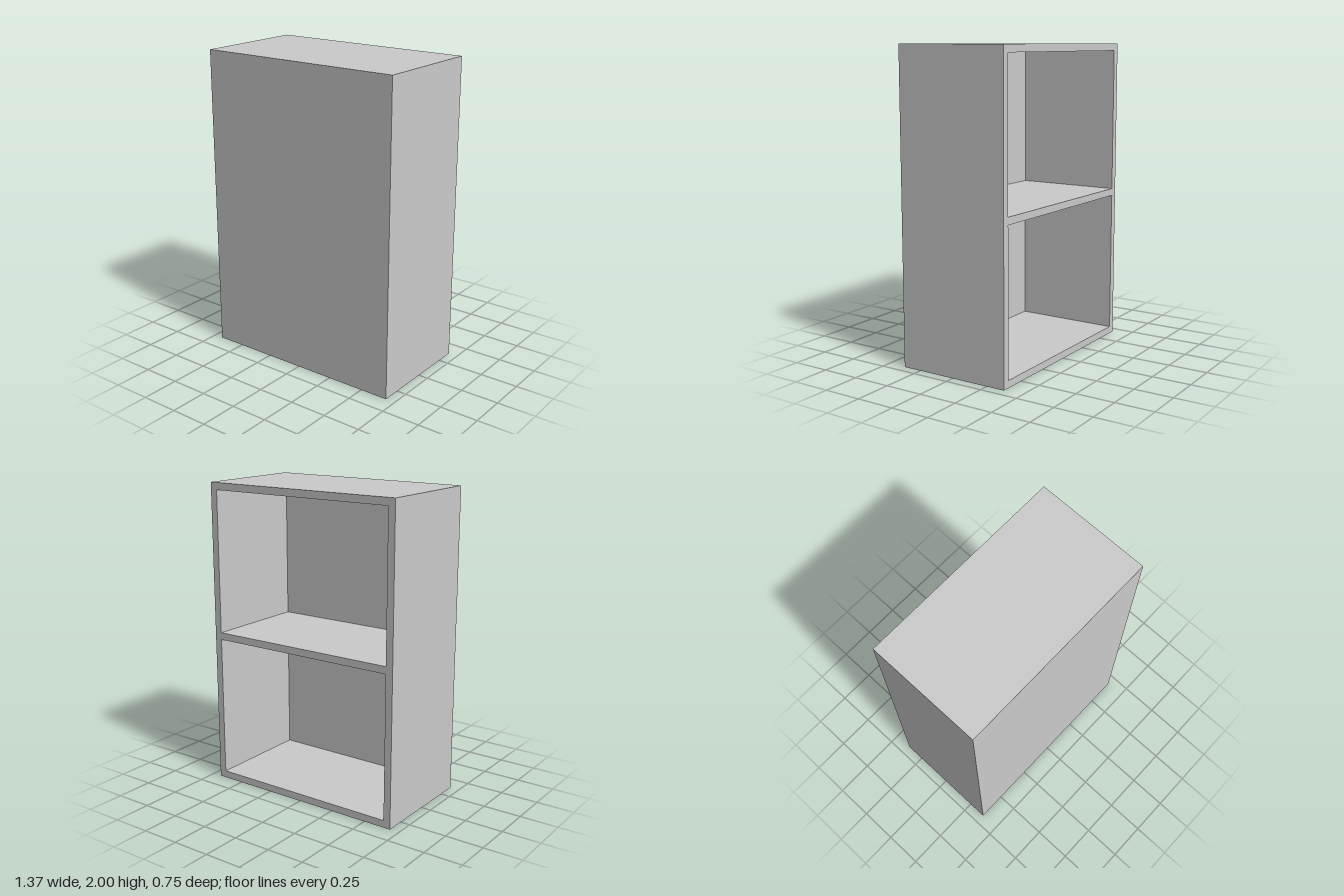
import * as THREE from 'three';

const W = 1.374, H = 2, D = 0.748, T = 0.047;

export function createModel() {
  const group = new THREE.Group();
  group.name = 'cabinet';
  const material = new THREE.MeshStandardMaterial({ color: 0xcccccc });

  const rectangle = (target, x0, y0, x1, y1) => {
    target.moveTo(x0, y0);
    target.lineTo(x1, y0);
    target.lineTo(x1, y1);
    target.lineTo(x0, y1);
    target.closePath();
    return target;
  };

  // Sides, top, bottom and middle shelf as one frame with two open compartments
  const outline = rectangle(new THREE.Shape(), -W / 2, 0, W / 2, H);
  const opening = (H - 3 * T) / 2;
  for (let i = 0; i < 2; i++) {
    const y = T + i * (opening + T);
    outline.holes.push(rectangle(new THREE.Path(), -W / 2 + T, y, W / 2 - T, y + opening));
  }
  const frame = new THREE.Mesh(
    new THREE.ExtrudeGeometry(outline, { depth: D - T, bevelEnabled: false }),
    material
  );
  frame.name = 'shelfFrame';
  frame.position.z = -D / 2;
  group.add(frame);

  // Full panel closing the +z side
  const panel = new THREE.Mesh(new THREE.BoxGeometry(W, H, T), material);
  panel.name = 'frontPanel';
  panel.position.set(0, H / 2, D / 2 - T / 2);
  group.add(panel);

  return group;
}
